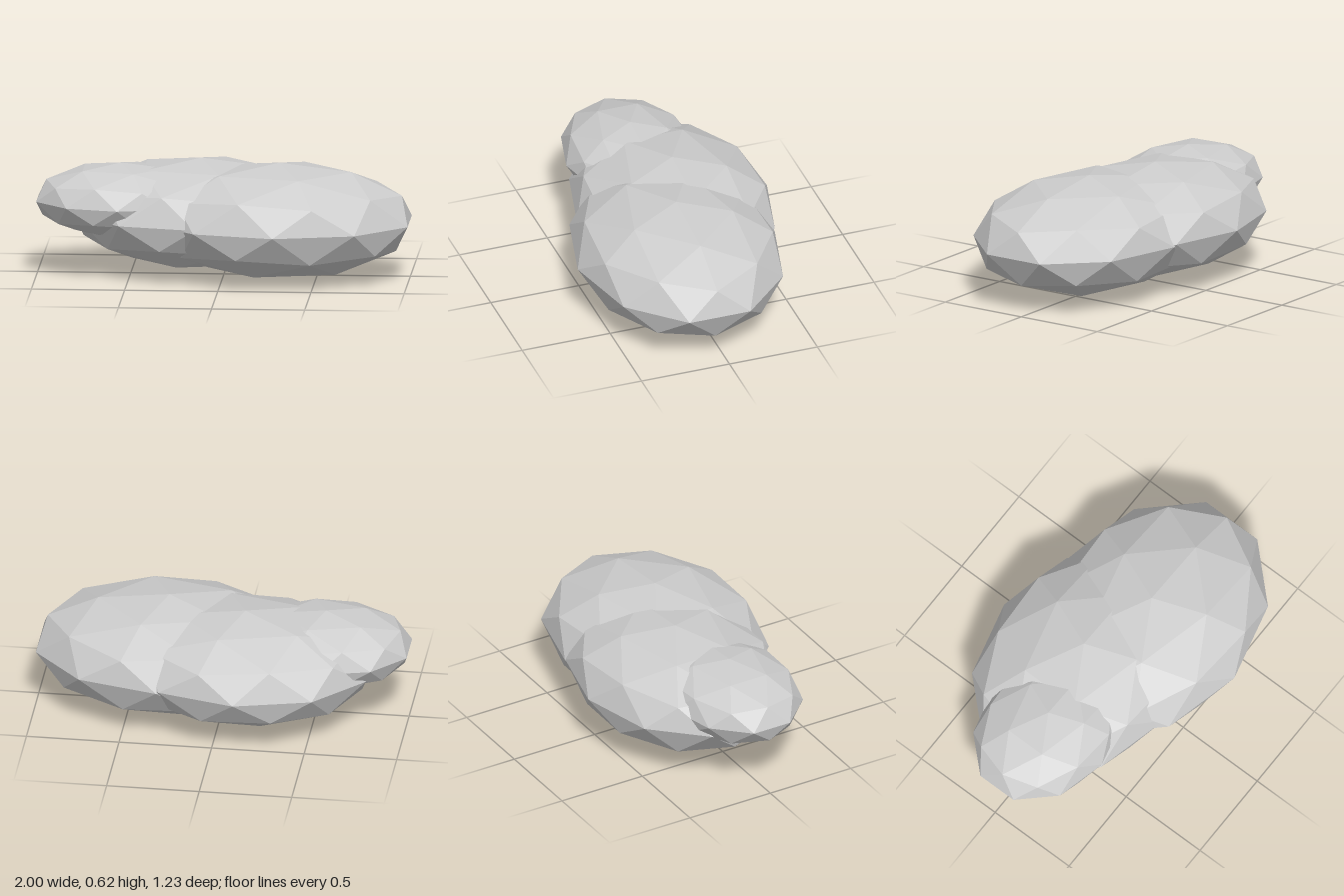
import * as THREE from 'three';

export function createModel() {
  const group = new THREE.Group();
  group.name = 'cloud';
  const grey = new THREE.MeshStandardMaterial({ color: 0xcccccc, flatShading: true });
  grey.name = 'light grey';

  // Faceted ellipsoid standing on a vertex, with an upper-ring vertex towards +x
  const tilt = -Math.atan(2 / (1 + Math.sqrt(5)));
  function puff(name, radii, centre) {
    const geometry = new THREE.IcosahedronGeometry(1, 1);
    geometry.rotateZ(tilt);
    geometry.scale(...radii);
    geometry.computeVertexNormals();
    const mesh = new THREE.Mesh(geometry, grey);
    mesh.name = name;
    mesh.position.set(...centre);
    group.add(mesh);
  }

  // Three overlapping lobes, from large to small
  puff('largeLobe', [0.736, 0.31, 0.56], [0.3, 0.31, 0.053]);
  puff('middleLobe', [0.705, 0.297, 0.54], [-0.127, 0.321, -0.075]);
  puff('smallLobe', [0.473, 0.2, 0.363], [-0.55, 0.403, 0.012]);

  return group;
}
